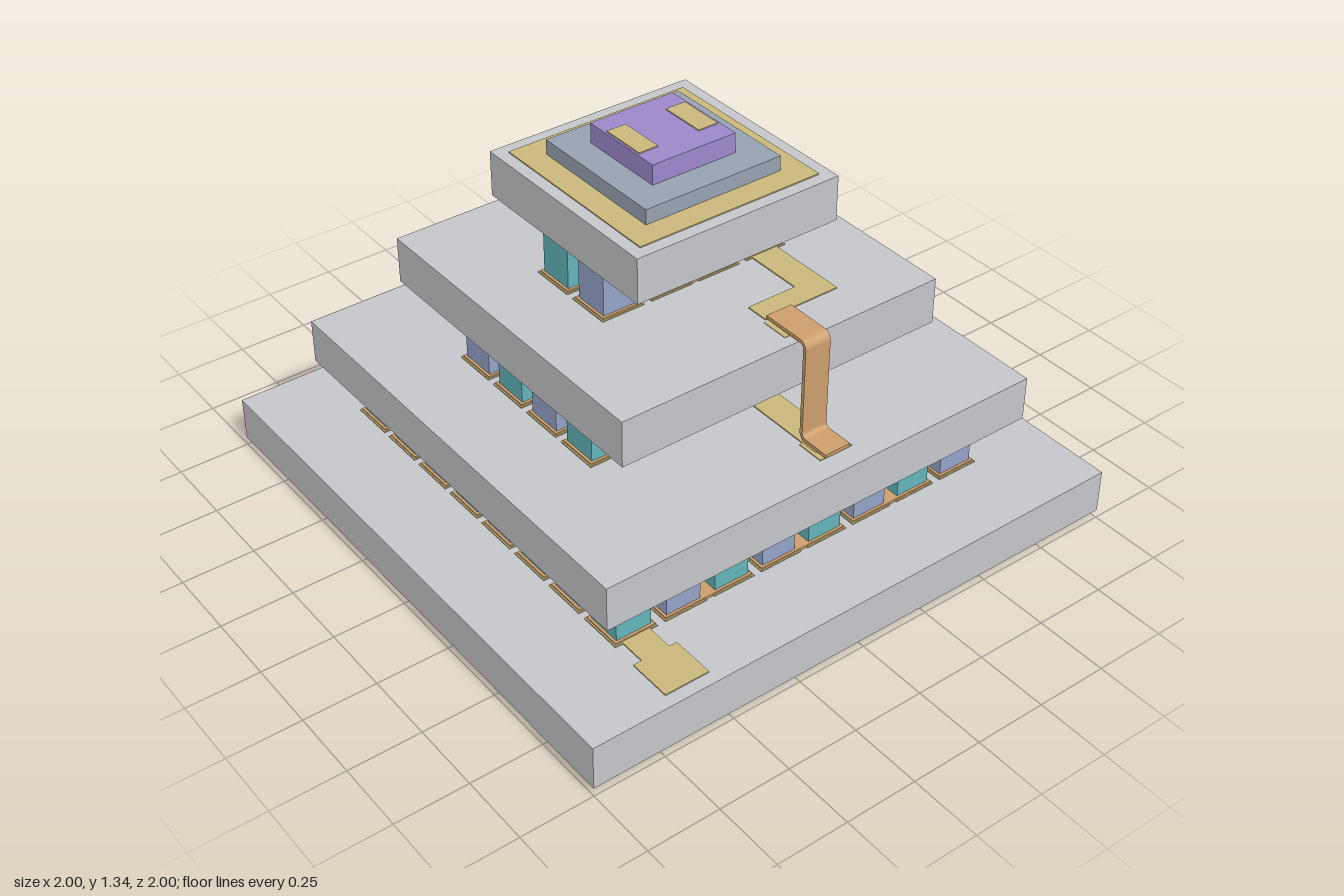
import * as THREE from 'three';

const mat = (name, color) => {
  const m = new THREE.MeshStandardMaterial({ color });
  m.name = name;
  return m;
};

export function createModel() {
  const ceramic = mat('ceramic grey', 0xc5c6c9);
  const padGrey = mat('base pad grey', 0xb4b5b7);
  const teal = mat('teal leg', 0x62b4ba);
  const blue = mat('blue leg', 0x95a3c8);
  const copper = mat('copper', 0xcc9e6c);
  const gold = mat('gold', 0xc9b77c);
  const slate = mat('slate carrier', 0x96a2b1);
  const purple = mat('purple chip', 0x9c88ca);

  const root = new THREE.Group();
  root.name = 'steppedCooler';

  // Box given by its limits on each axis
  const box = (name, material, x0, x1, y0, y1, z0, z1, parent = root) => {
    const mesh = new THREE.Mesh(new THREE.BoxGeometry(x1 - x0, y1 - y0, z1 - z0), material);
    mesh.position.set((x0 + x1) / 2, (y0 + y1) / 2, (z0 + z1) / 2);
    mesh.name = name;
    parent.add(mesh);
  };
  const slab = (name, material, half, y0, y1) => box(name, material, -half, half, y0, y1, -half, half);
  const film = (name, x0, x1, y, z0, z1) => box(name, gold, x0, x1, y, y + 0.004, z0, z1);

  // Stacked plates, carrier and chip
  slab('basePad', padGrey, 0.94, 0, 0.03);
  slab('basePlate', ceramic, 1, 0.03, 0.185);
  slab('secondPlate', ceramic, 0.81, 0.375, 0.53);
  slab('thirdPlate', ceramic, 0.593, 0.715, 0.875);
  slab('topPlate', ceramic, 0.373, 1.06, 1.215);
  slab('topGoldFilm', gold, 0.332, 1.215, 1.219);
  slab('carrier', slate, 0.25, 1.215, 1.27);
  slab('chip', purple, 0.154, 1.27, 1.338);
  film('chipContactRight', -0.147, -0.078, 1.338, -0.08, 0.08);
  film('chipContactLeft', 0.073, 0.145, 1.338, -0.08, 0.08);

  // Checkered legs with copper bridges that join neighbours above and below
  const pitch = 0.182, legHalf = 0.063, tabHalf = 0.077, tabT = 0.009;
  function legStage(name, nx, nz, y0, y1, missing) {
    const stage = new THREE.Group();
    stage.name = name;
    root.add(stage);
    const px = i => (i - (nx - 1) / 2) * pitch;
    for (let j = 0; j < nz; j++) {
      const z = ((nz - 1) / 2 - j) * pitch; // row 0 is the front
      const has = i => i >= 0 && i < nx && !missing.some(([a, b]) => a === i && b === j);
      const bridge = (a, b, y) => {
        const used = [a, b].filter(has);
        if (!used.length) return;
        box('bridge', copper, px(used[0]) - tabHalf + 0.005, px(used[used.length - 1]) + tabHalf - 0.005,
          y, y + tabT, z - tabHalf + 0.005, z + tabHalf - 0.005, stage);
      };
      for (let i = 0; i < nx; i++) {
        if (!has(i)) continue;
        const tealLeg = (i + j + (nx === 4 ? 1 : 0)) % 2 === 0;
        box('leg', tealLeg ? teal : blue, px(i) - legHalf, px(i) + legHalf,
          y0 + tabT, y1 - tabT, z - legHalf, z + legHalf, stage);
        film('legPad', px(i) - tabHalf, px(i) + tabHalf, y0, z - tabHalf, z + tabHalf);
      }
      for (let i = 0; i < nx; i += 2) bridge(i, i + 1, y1 - tabT);
      for (let i = -1; i < nx; i += 2) bridge(i, i + 1, y0);
    }
  }
  legStage('lowerLegs', 8, 8, 0.185, 0.375, [[7, 6], [7, 7]]);
  legStage('middleLegs', 6, 4, 0.53, 0.715, [[4, 0], [5, 0]]);
  legStage('upperLegs', 4, 2, 0.875, 1.06, []);

  // Z-shaped strap with rounded bends; s = 1 at the front, -1 at the back
  function strap(name, x, s, zIn, zBend, zOut, yTop, yLow) {
    const t = 0.012, r = 0.022, w = 0.095;
    const upper = [], lower = [];
    const add = (z, y, nz, ny) => {
      upper.push(new THREE.Vector2(s * (z + nz * t / 2), y + ny * t / 2));
      lower.push(new THREE.Vector2(s * (z - nz * t / 2), y - ny * t / 2));
    };
    add(zIn, yTop, 0, 1);
    for (let k = 0; k <= 6; k++) {
      const a = Math.PI / 2 * (1 - k / 6), c = Math.cos(a), n = Math.sin(a);
      add(zBend - r + r * c, yTop - r + r * n, c, n);
    }
    for (let k = 0; k <= 6; k++) {
      const a = Math.PI / 2 * k / 6, c = Math.cos(a), n = Math.sin(a);
      add(zBend + r - r * c, yLow + r - r * n, c, n);
    }
    add(zOut, yLow, 0, 1);
    const shape = new THREE.Shape([...upper, ...lower.reverse()]);
    const geo = new THREE.ExtrudeGeometry(shape, { depth: w, bevelEnabled: false });
    geo.rotateY(-Math.PI / 2);
    geo.translate(x + w / 2, 0, 0);
    const mesh = new THREE.Mesh(geo, copper);
    mesh.name = name;
    root.add(mesh);
    // Solder pads under both ends
    const pad = (z, y) => film('strapPad', x - 0.062, x + 0.062, y, s * z - 0.048, s * z + 0.048);
    pad(zIn + 0.055, yTop - 0.014);
    pad(zOut - 0.055, yLow - 0.014);
  }
  strap('frontStrap', 0.09, 1, 0.452, 0.627, 0.742, 0.887, 0.543);
  strap('backUpperStrap', 0.27, -1, 0.452, 0.627, 0.742, 0.887, 0.543);
  strap('backLowerStrap', 0.27, -1, 0.675, 0.845, 0.963, 0.543, 0.2);
  strap('backSideStrap', 0.455, -1, 0.675, 0.845, 0.963, 0.543, 0.2);

  // Gold traces on the plates
  const y1 = 0.185, y2 = 0.53, y3 = 0.875;
  film('frontTerminal', -0.717, -0.56, y1, 0.805, 0.957);
  film('frontTerminalTrace', -0.687, -0.587, y1, 0.7, 0.805);
  film('backTerminal', -0.24, -0.08, y1, -0.967, -0.815);
  film('backTerminalTrace', -0.08, 0.33, y1, -0.94, -0.845);
  film('sideStrapLowTrace', 0.405, 0.505, y1, -0.86, -0.7);
  film('sideStrapHighTrace', 0.405, 0.505, y2, -0.69, -0.34);
  film('backStrapTrace', 0.22, 0.32, y2, -0.76, -0.66);
  film('frontStrapTrace', 0.04, 0.14, y2, 0.34, 0.7);
  film('thirdPlateBackTrace', 0.22, 0.32, y3, -0.5, -0.16);
  film('thirdPlateFrontTrace', 0.04, 0.32, y3, 0.37, 0.45);
  film('thirdPlateInnerTrace', 0.22, 0.32, y3, 0.16, 0.37);

  return root;
}
